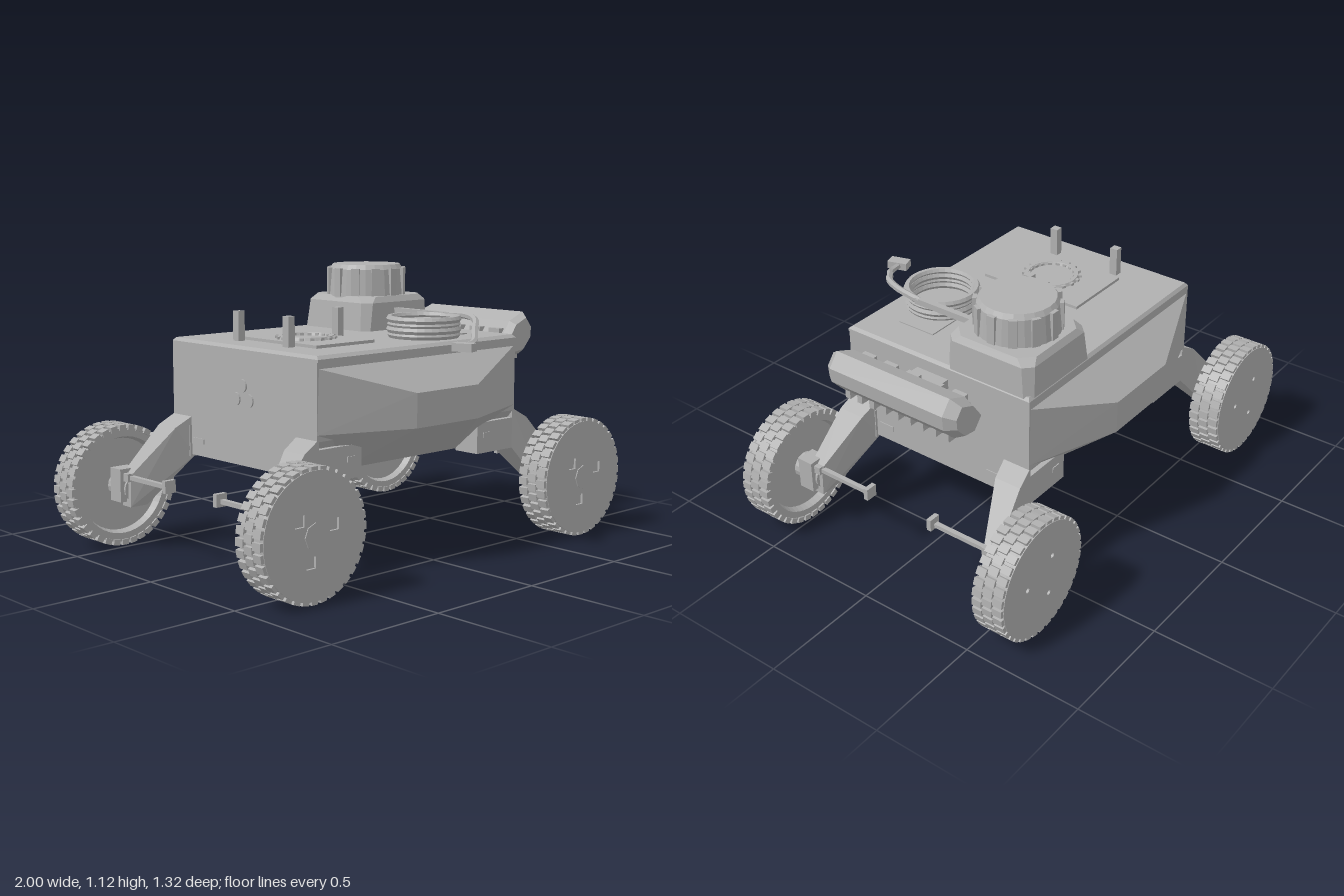
import * as THREE from 'three';
import { mergeGeometries } from 'three/addons/utils/BufferGeometryUtils.js';
import { ConvexGeometry } from 'three/addons/geometries/ConvexGeometry.js';

const grey = new THREE.MeshStandardMaterial({ color: 0xb0b0b0 });
grey.name = 'light grey';

const V = (x, y, z) => new THREE.Vector3(x, y, z);

export function createModel() {
  const model = new THREE.Group();
  model.name = 'rover';

  const add = (name, geometry, parent = model) => {
    const g = geometry.index ? geometry.toNonIndexed() : geometry;
    g.computeVertexNormals(); // faceted shading
    const mesh = new THREE.Mesh(g, grey);
    mesh.name = name;
    parent.add(mesh);
    return mesh;
  };
  // box from its lower and upper limits
  const boxGeo = (x0, x1, y0, y1, z0, z1) =>
    new THREE.BoxGeometry(x1 - x0, y1 - y0, z1 - z0).translate((x0 + x1) / 2, (y0 + y1) / 2, (z0 + z1) / 2);
  const box = (name, ...limits) => add(name, boxGeo(...limits));
  const hull = (name, points) => add(name, new ConvexGeometry(points.map((p) => V(...p))));
  const mirrorX = (points) => points.flatMap(([x, y, z]) => [[x, y, z], [-x, y, z]]);

  // Body: main box with a thin chamfered lid
  hull('body', mirrorX([
    [0.55, 0.83, -0.45], [0.55, 0.83, 0.43], [0.55, 0.53, -0.45], [0.55, 0.53, 0.43],
    [0.55, 0.38, -0.34], [0.55, 0.38, 0.31],
  ]));
  hull('lid', mirrorX([
    [0.55, 0.825, -0.45], [0.55, 0.825, 0.435], [0.55, 0.835, -0.45], [0.55, 0.835, 0.435],
    [0.54, 0.848, -0.44], [0.54, 0.848, 0.42],
  ]));

  // Faceted noses at both ends
  for (const [name, edge, peak, foot] of [['frontNose', 0.43, 0.57, 0.31], ['backNose', -0.45, -0.587, -0.34]]) {
    hull(name, mirrorX([
      [0.54, 0.8, edge], [0.17, 0.69, peak], [0.17, 0.555, peak],
      [0.55, 0.555, edge], [0.55, 0.5, foot], [0.32, 0.38, foot],
    ]));
  }

  // Wheel: axis along z, outer face towards +z
  const tread = [];
  const count = 36;
  for (let row = 0; row < 3; row++) {
    for (let i = 0; i < count; i++) {
      const a = ((i + (row % 2) * 0.5) / count) * Math.PI * 2;
      tread.push(new THREE.BoxGeometry(0.03, 0.023, 0.042)
        .translate(0, 0.2375, (row - 1) * 0.046).rotateZ(a));
    }
  }
  const treadGeo = mergeGeometries(tread);
  const tyreGeo = new THREE.LatheGeometry([
    [0, -0.03], [0.19, -0.03], [0.2, -0.06], [0.235, -0.06], [0.238, 0.05], [0.235, 0.06], [0, 0.06],
  ].map((p) => new THREE.Vector2(...p)), 48).rotateX(Math.PI / 2);

  const coverGeo = (front) => {
    const disc = new THREE.Shape().absarc(0, 0, 0.236, 0, Math.PI * 2);
    for (let i = 0; i < 3; i++) {
      const a = Math.PI * (1 / 6 + (i * 2) / 3) + (front ? -0.2 : 0.4);
      const x = 0.095 * Math.cos(a), y = 0.095 * Math.sin(a);
      const hole = new THREE.Path();
      if (front) {
        const s = 0.022;
        hole.moveTo(x - s, y - s).lineTo(x - s, y + s).lineTo(x + s, y + s).lineTo(x + s, y - s).closePath();
      } else hole.absarc(x, y, 0.01, 0, Math.PI * 2, true);
      disc.holes.push(hole);
    }
    return new THREE.ExtrudeGeometry(disc, { depth: 0.01, bevelEnabled: false, curveSegments: 24 }).translate(0, 0, 0.06);
  };

  // Four corners: bracket, leg, motor, wheel and inward probe
  for (const sx of [1, -1]) {
    for (const sz of [1, -1]) {
      const shift = sz > 0 ? 0 : 0.02;
      const at = ([x, y, z]) => [x * sx, y, sz * (z + shift)];
      const hullAt = (name, pts) => hull(name, pts.map(at));
      const boxAt = (name, x0, x1, y0, y1, z0, z1) => {
        const pts = [];
        for (const x of [x0, x1]) for (const y of [y0, y1]) for (const z of [z0, z1]) pts.push([x, y, z]);
        return hullAt(name, pts);
      };
      boxAt('legBracket', 0.325, 0.56, 0.372, 0.5, 0.31, 0.43);
      boxAt('bracketSlot', 0.36, 0.4, 0.435, 0.457, 0.425, 0.434);
      hullAt('leg', [
        [0.54, 0.54, 0.31], [0.54, 0.54, 0.43], [0.54, 0.372, 0.31], [0.54, 0.372, 0.43],
        [0.62, 0.495, 0.325], [0.62, 0.495, 0.44],
        [0.79, 0.31, 0.4], [0.79, 0.31, 0.46], [0.79, 0.18, 0.405], [0.79, 0.18, 0.46],
        [0.71, 0.18, 0.405], [0.71, 0.18, 0.46],
      ]);
      const motor = add('motor', new THREE.CylinderGeometry(0.055, 0.055, 0.13, 16).rotateX(Math.PI / 2));
      motor.position.set(...at([0.75, 0.25, 0.485]));
      boxAt('motorMount', 0.74, 0.82, 0.2, 0.335, 0.43, 0.5);
      boxAt('probeRod', 0.775, 0.795, 0.293, 0.31, 0.165, 0.53);
      boxAt('probeTip', 0.76, 0.81, 0.28, 0.33, 0.14, 0.16);
      boxAt('probeCollar', 0.765, 0.805, 0.285, 0.318, 0.4, 0.46);

      const wheel = new THREE.Group();
      wheel.name = 'wheel';
      wheel.position.set(...at([0.75, 0.25, 0.573]));
      if (sz < 0) wheel.rotation.y = Math.PI;
      add('tyre', tyreGeo, wheel);
      add('tread', treadGeo, wheel);
      add('wheelCover', coverGeo(sz > 0), wheel);
      if (sz > 0) {
        add('hubCap', new THREE.CylinderGeometry(0.05, 0.05, 0.012, 8).rotateX(Math.PI / 2).translate(0, 0, 0.068), wheel);
      }
      model.add(wheel);
    }
  }

  // Turret base with cut corners, ribbed dome on top
  const rim = (x0, x1, z0, z1, c, y) => [
    [x0 + c, y, z0], [x1 - c, y, z0], [x1, y, z0 + c], [x1, y, z1 - c],
    [x1 - c, y, z1], [x0 + c, y, z1], [x0, y, z1 - c], [x0, y, z0 + c],
  ];
  hull('turretBase', [
    ...rim(0.15, 0.548, -0.45, -0.05, 0.03, 0.84), ...rim(0.165, 0.545, -0.445, -0.055, 0.035, 0.965),
    ...rim(0.18, 0.53, -0.43, -0.07, 0.05, 0.99),
  ]);
  const dome = new THREE.Group();
  dome.name = 'turretDome';
  dome.position.set(0.34, 0, -0.243);
  model.add(dome);
  add('dome', new THREE.LatheGeometry([
    [0.168, 0.98], [0.158, 1.1], [0.145, 1.12], [0, 1.12],
  ].map((p) => new THREE.Vector2(...p)), 24), dome);
  const ribs = [];
  for (let i = 0; i < 12; i++) {
    ribs.push(new THREE.BoxGeometry(0.035, 0.12, 0.016).translate(0, 1.045, 0.163).rotateY((i / 12) * Math.PI * 2));
  }
  add('domeRibs', mergeGeometries(ribs), dome);

  // Deck plate with a beaded ring, and three posts
  box('deckPlate', -0.395, -0.09, 0.84, 0.86, -0.21, 0.255);
  const beads = [new THREE.TorusGeometry(0.103, 0.014, 6, 32).rotateX(Math.PI / 2)];
  for (let i = 0; i < 18; i++) {
    beads.push(new THREE.BoxGeometry(0.035, 0.02, 0.016).translate(0.106, 0, 0).rotateY((i / 18) * Math.PI * 2));
  }
  add('plateRing', mergeGeometries(beads)).position.set(-0.245, 0.86, 0.025);
  for (const [x, z] of [[-0.435, -0.163], [-0.435, 0.14], [-0.037, -0.015]]) {
    box('post', x - 0.016, x + 0.016, 0.84, 0.967, z - 0.017, z + 0.017);
  }

  // Coiled cable, with its lead over the front and a connector
  box('coilPad', 0.255, 0.41, 0.845, 0.853, 0.12, 0.29);
  for (let i = 0; i < 4; i++) {
    add('cableCoil', new THREE.TorusGeometry(0.135 + (i % 2) * 0.004, 0.0145, 6, 32).rotateX(Math.PI / 2))
      .position.set(0.195, 0.862 + i * 0.021, 0.248);
  }
  const lead = new THREE.CatmullRomCurve3([
    V(0.34, 0.93, 0.24), V(0.325, 0.935, 0.36), V(0.28, 0.925, 0.45),
    V(0.2, 0.89, 0.52), V(0.13, 0.86, 0.58), V(0.06, 0.85, 0.6),
  ]);
  add('cableLead', new THREE.TubeGeometry(lead, 28, 0.014, 6));
  const connector = add('connector', new THREE.BoxGeometry(0.05, 0.032, 0.085));
  connector.position.set(0.043, 0.85, 0.61);
  connector.rotation.y = 0.3;
  box('cableBar', 0.325, 0.35, 0.915, 0.94, -0.06, 0.26);

  // Side lamp housing: slanted section run along z with tapered ends
  const section = [
    [0.645, 0.79], [0.71, 0.88], [0.795, 0.915], [0.815, 0.875],
    [0.84, 0.86], [0.835, 0.8], [0.775, 0.735], [0.7, 0.725],
  ];
  const lampPoints = [];
  for (const [z, k] of [[-0.325, 0.72], [-0.28, 1], [0.26, 1], [0.292, 0.75]]) {
    for (const [x, y] of section) lampPoints.push([0.745 + (x - 0.745) * k, 0.82 + (y - 0.82) * k, z]);
  }
  hull('lampHousing', lampPoints);
  for (let i = 0; i < 9; i++) {
    const z = -0.25 + i * 0.06;
    box('lampFin', 0.7, 0.785, 0.712, 0.76, z - 0.012, z + 0.012);
  }
  for (let i = 0; i < 5; i++) {
    const z = -0.22 + i * 0.11;
    box('lampClip', 0.655, 0.685, 0.79, 0.85, z - 0.03, z + 0.03);
  }
  // Lamp bracket
  box('lampBracketPlate', 0.545, 0.575, 0.645, 0.69, -0.12, 0.108);
  box('lampBracketArm', 0.55, 0.65, 0.645, 0.69, -0.04, 0.01);
  box('lampBracketUpright', 0.61, 0.66, 0.66, 0.8, -0.04, 0.01);
  box('lampBracketLink', 0.575, 0.7, 0.77, 0.81, -0.09, 0.06);

  // Shallow ports on the sides
  box('sidePort', 0.545, 0.555, 0.64, 0.695, 0.24, 0.345);
  for (const sx of [1, -1]) {
    for (const z of [0.258, -0.283]) {
      box('sideSlot', sx * 0.55 - 0.004, sx * 0.55 + 0.004, 0.43, 0.452, z - 0.034, z + 0.034);
    }
  }
  for (const [y, z] of [[0.64, -0.04], [0.64, 0.04], [0.695, 0]]) {
    add('roundPort', new THREE.CylinderGeometry(0.026, 0.026, 0.009, 16).rotateZ(Math.PI / 2))
      .position.set(-0.552, y, z);
  }

  return model;
}
